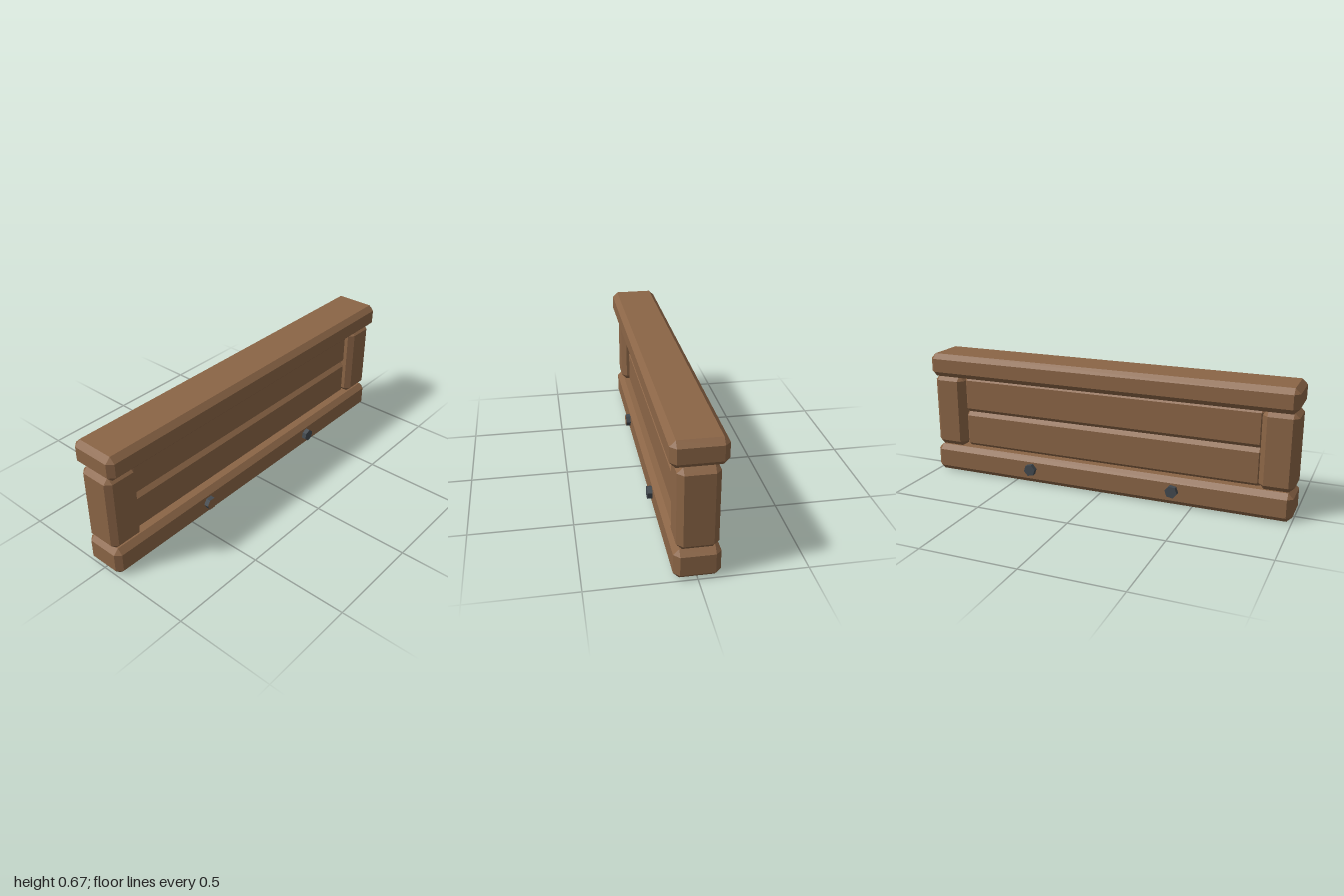
import * as THREE from 'three';
import { ConvexGeometry } from 'three/addons/geometries/ConvexGeometry.js';

const wood = new THREE.MeshStandardMaterial({ color: 0x8b6546 });
wood.name = 'wood';
const iron = new THREE.MeshStandardMaterial({ color: 0x42494f });
iron.name = 'iron';

// Beam with all edges and corners cut at 45 degrees
function beam(name, x0, x1, y0, y1, halfDepth, cut = 0.027) {
  const hx = (x1 - x0) / 2, hy = (y1 - y0) / 2, hz = halfDepth;
  const points = [];
  for (const sx of [-1, 1]) for (const sy of [-1, 1]) for (const sz of [-1, 1]) {
    points.push(
      new THREE.Vector3(sx * hx, sy * (hy - cut), sz * (hz - cut)),
      new THREE.Vector3(sx * (hx - cut), sy * hy, sz * (hz - cut)),
      new THREE.Vector3(sx * (hx - cut), sy * (hy - cut), sz * hz));
  }
  const mesh = new THREE.Mesh(new ConvexGeometry(points), wood);
  mesh.name = name;
  mesh.position.set((x0 + x1) / 2, (y0 + y1) / 2, 0);
  return mesh;
}

// Six-sided bolt head standing out of the bottom rail; angle places its first corner
function bolt(name, x, side, angle, capMaterial) {
  const geometry = new THREE.CylinderGeometry(0.033, 0.033, 0.035, 6).toNonIndexed();
  geometry.computeVertexNormals();
  geometry.rotateY(Math.PI / 2);
  geometry.rotateX(side * Math.PI / 2);
  geometry.rotateZ(THREE.MathUtils.degToRad(angle));
  const mesh = new THREE.Mesh(geometry, [iron, capMaterial, iron]);
  mesh.name = name;
  mesh.position.set(x, 0.0815, side * 0.1135);
  return mesh;
}

export function createModel() {
  const group = new THREE.Group();
  group.name = 'woodenBarrier';

  // Rails
  group.add(beam('topRail', -1, 1, 0.548, 0.674, 0.126));
  group.add(beam('bottomRail', -1, 1, 0, 0.148, 0.106));

  // End posts
  group.add(beam('rightPost', -1, -0.825, 0.148, 0.548, 0.094));
  group.add(beam('leftPost', 0.825, 1, 0.148, 0.548, 0.094));

  // Recessed planks, slightly sunk into their neighbours
  group.add(beam('lowerPlank', -0.843, 0.843, 0.137, 0.35, 0.052));
  group.add(beam('upperPlank', -0.843, 0.843, 0.337, 0.55, 0.052));

  // Bolts, one with a wooden cap
  group.add(bolt('frontRightBolt', -0.4, 1, 0, wood));
  group.add(bolt('frontLeftBolt', 0.4, 1, 20, iron));
  group.add(bolt('backRightBolt', -0.4, -1, 10, iron));
  group.add(bolt('backLeftBolt', 0.4, -1, -11, iron));
  return group;
}
